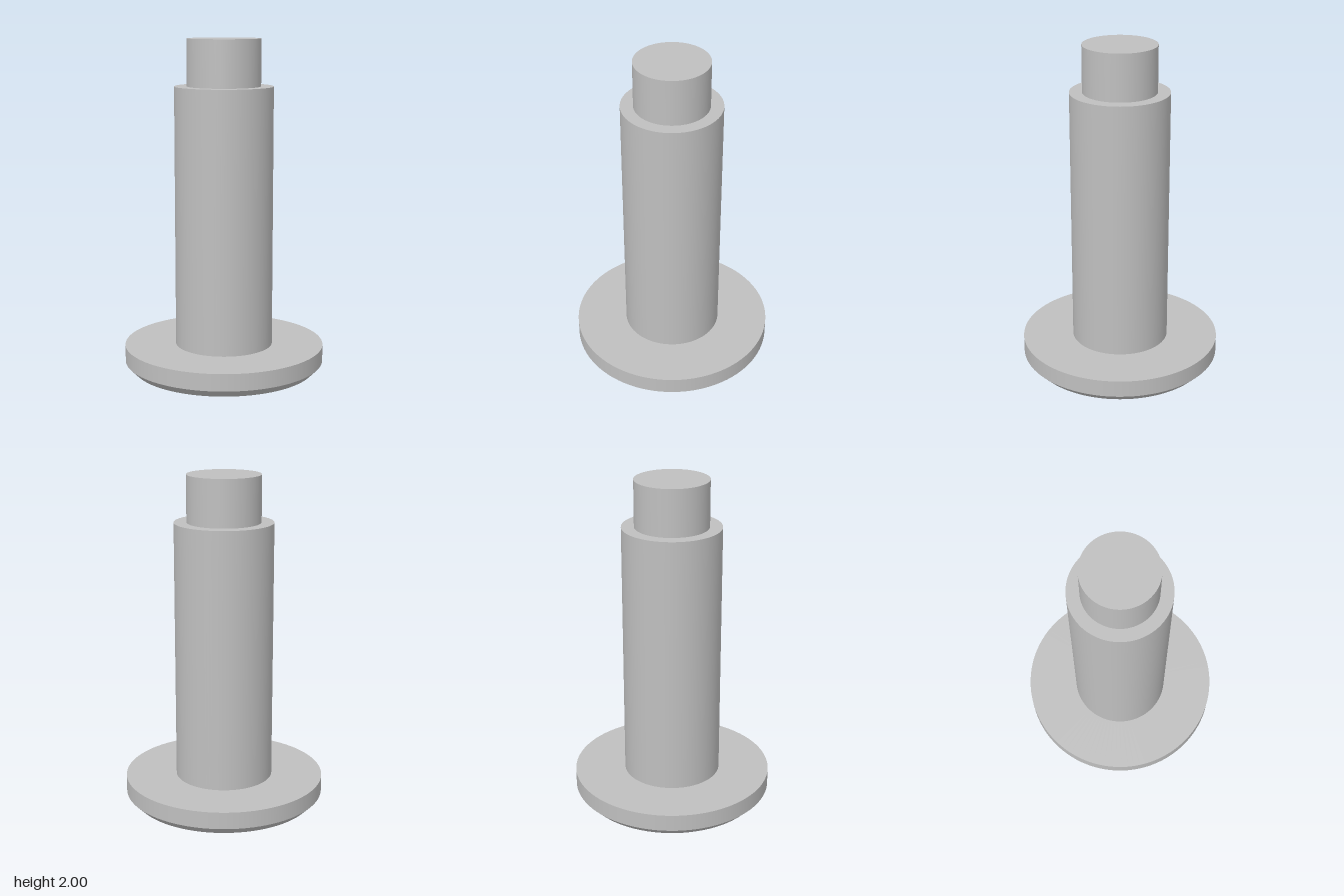
import * as THREE from 'three';
import { mergeGeometries } from 'three/addons/utils/BufferGeometryUtils.js';

const SEGMENTS = 96;

// Revolve each profile segment on its own, so edges stay sharp and sides smooth
function turned(name, profile, material) {
  const pts = profile.map(([r, y]) => new THREE.Vector2(r, y));
  const bands = pts.slice(1).map((p, i) => new THREE.LatheGeometry([pts[i], p], SEGMENTS));
  const mesh = new THREE.Mesh(mergeGeometries(bands), material);
  mesh.name = name;
  return mesh;
}

export function createModel() {
  const group = new THREE.Group();
  group.name = 'flangedPin';
  const steel = new THREE.MeshStandardMaterial({ color: 0xbfbfbf });
  steel.name = 'grey steel';

  const baseR = 0.605, shaftR = 0.295, tipR = 0.22;
  const baseTop = 0.15, shaftTop = 1.72;

  group.add(
    // Round flange with a chamfered lower edge
    turned('baseFlange', [[0, 0], [0.558, 0], [baseR, 0.047], [baseR, baseTop], [shaftR, baseTop]], steel),
    // Main shaft up to its shoulder
    turned('shaft', [[shaftR, baseTop], [shaftR, shaftTop], [tipR, shaftTop]], steel),
    // Narrower end with a flat top
    turned('tip', [[tipR, shaftTop], [tipR, 2], [0, 2]], steel)
  );
  return group;
}
